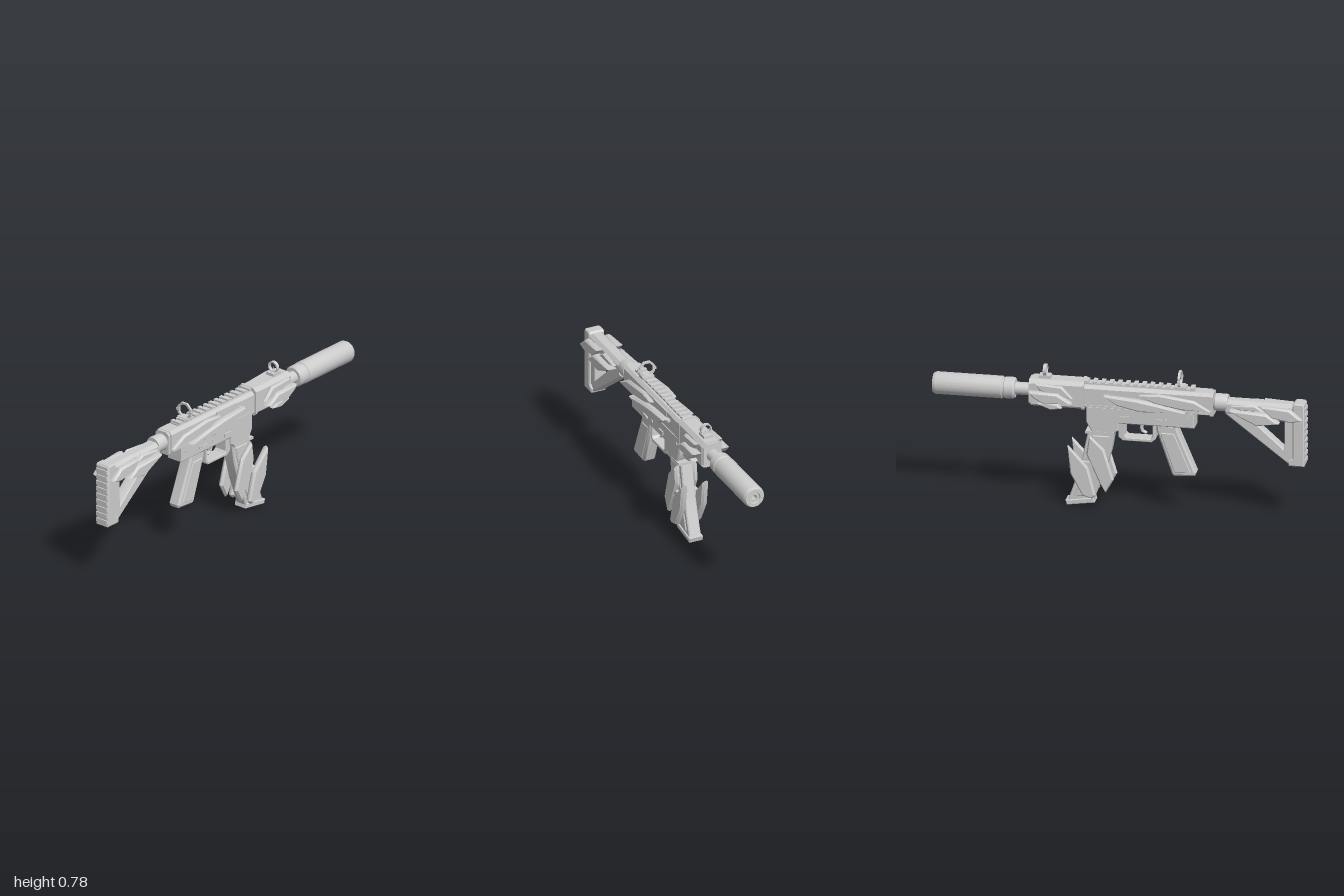
import * as THREE from 'three';
import { toCreasedNormals } from 'three/addons/utils/BufferGeometryUtils.js';

const grey = new THREE.MeshStandardMaterial({ color: 0xcccccc });
grey.name = 'plain grey';

export function createModel() {
  const root = new THREE.Group();
  root.name = 'carbine';

  const add = (name, geo, x = 0, y = 0, z = 0) => {
    const m = new THREE.Mesh(toCreasedNormals(geo, 0.5), grey);
    m.name = name;
    m.position.set(x, y, z);
    root.add(m);
  };
  const box = (name, x0, x1, y0, y1, z0, z1) =>
    add(name, new THREE.BoxGeometry(x1 - x0, y1 - y0, z1 - z0), (x0 + x1) / 2, (y0 + y1) / 2, (z0 + z1) / 2);
  const toShape = (pts) => new THREE.Shape(pts.map(([x, y]) => new THREE.Vector2(x, y)));

  // Side profile extruded symmetrically in z, with a small chamfer inside the outline
  const slab = (name, pts, half, bevel = 0.006, hole = null) => {
    const shape = toShape(pts);
    if (hole) shape.holes.push(toShape(hole));
    const geo = new THREE.ExtrudeGeometry(shape, {
      depth: 2 * (half - bevel), bevelThickness: bevel,
      bevelSize: bevel, bevelOffset: -bevel, bevelSegments: 1,
    });
    add(name, geo.translate(0, 0, bevel - half));
  };
  // Cross-section in (z, y) extruded along x
  const along = (name, pts, x0, x1, hole = null) => {
    const shape = toShape(pts);
    if (hole) shape.holes.push(toShape(hole));
    const geo = new THREE.ExtrudeGeometry(shape, { depth: x1 - x0, bevelEnabled: false });
    add(name, geo.rotateY(Math.PI / 2), x0);
  };
  // Profile of [x, radius] turned around the barrel axis
  const turned = (name, pts, sides = 28) => {
    const geo = new THREE.LatheGeometry(pts.map(([x, r]) => new THREE.Vector2(r, x)), sides);
    add(name, geo.rotateZ(-Math.PI / 2), 0, 0.623, 0);
  };
  // Rectangle with cut corners, as (z, y) points
  const cutRect = (w, y0, y1, top, bottom) => [
    [-w, y0 + bottom], [-w + bottom, y0], [w - bottom, y0], [w, y0 + bottom],
    [w, y1 - top], [w - top, y1], [-w + top, y1], [-w, y1 - top],
  ];
  const ring = (r, y, n) => Array.from({ length: n }, (_, i) => {
    const a = ((i + 0.5) / n) * Math.PI * 2;
    return [Math.cos(a) * r, y + Math.sin(a) * r];
  });
  // Faceted plate between |z| = z0 and z1, on both sides
  const shard = (name, pts, z0, z1) => {
    const d = z1 - z0, b = 0.012;
    for (const s of [1, -1]) {
      const geo = new THREE.ExtrudeGeometry(toShape(pts), {
        depth: d - 2 * b, bevelThickness: b, bevelSize: 0.009, bevelOffset: -0.009, bevelSegments: 1,
      });
      add(name, geo.translate(0, 0, s > 0 ? z0 + b : -z1 + b));
    }
  };
  const pin = (name, x, y, r, half) =>
    add(name, new THREE.CylinderGeometry(r, r, half * 2, 12).rotateX(Math.PI / 2), x, y, 0);

  // Barrel and suppressor
  turned('barrel', [[0.46, 0], [0.46, 0.034], [0.58, 0.034], [0.58, 0]], 20);
  turned('suppressor', [
    [0.56, 0.02], [0.56, 0.05], [0.57, 0.058], [0.615, 0.058], [0.618, 0.054], [0.626, 0.054], [0.63, 0.06],
    [0.985, 0.06], [1, 0.052], [1, 0.032], [0.992, 0.029], [0.992, 0.015], [0.93, 0.015], [0.93, 0],
  ]);

  // Handguard
  along('handguard', cutRect(0.058, 0.55, 0.697, 0.02, 0.012), 0.19, 0.47);
  along('handguardRearCollar', cutRect(0.061, 0.544, 0.702, 0.02, 0.012), 0.185, 0.2);
  along('handguardFrontCollar', cutRect(0.052, 0.556, 0.692, 0.02, 0.012), 0.47, 0.482);

  // Upper receiver with rail
  along('upperReceiver', cutRect(0.052, 0.562, 0.682, 0.016, 0.004), -0.49, 0.19);
  along('receiverEndPlate', cutRect(0.046, 0.552, 0.68, 0.016, 0.006), -0.505, -0.488);
  box('railBase', -0.405, 0.185, 0.678, 0.69, -0.025, 0.025);
  for (let i = 0; i < 14; i++) {
    const x = -0.4 + i * 0.0435;
    box('railTooth', x, x + 0.022, 0.688, 0.7, -0.03, 0.03);
  }
  box('ejectionPort', -0.125, 0.035, 0.615, 0.672, 0.05, 0.056);
  box('boltHandle', 0.05, 0.075, 0.628, 0.642, -0.068, 0.068);
  box('receiverRib', -0.48, 0.18, 0.566, 0.576, -0.056, 0.056);

  // Lower receiver, magazine well and trigger guard
  slab('lowerReceiver', [
    [-0.405, 0.48], [0.0, 0.48], [0.0, 0.44], [0.03, 0.418], [0.142, 0.418], [0.175, 0.48], [0.175, 0.568], [-0.405, 0.568],
  ], 0.05);
  box('magazineWellLip', 0.025, 0.178, 0.414, 0.428, -0.052, 0.052);
  slab('triggerGuard', [
    [-0.195, 0.485], [-0.195, 0.4], [-0.175, 0.383], [-0.02, 0.383], [0.004, 0.403], [0.004, 0.485],
  ], 0.038, 0.003, [[-0.18, 0.478], [-0.03, 0.478], [-0.03, 0.412], [-0.042, 0.4], [-0.168, 0.4], [-0.18, 0.412]]);
  slab('trigger', [
    [-0.135, 0.49], [-0.122, 0.45], [-0.125, 0.435], [-0.145, 0.425], [-0.138, 0.418], [-0.115, 0.43], [-0.108, 0.45], [-0.112, 0.49],
  ], 0.012, 0.002);
  for (const [x, y] of [[-0.37, 0.535], [-0.15, 0.52], [0.15, 0.535]]) pin('receiverPin', x, y, 0.008, 0.054);
  pin('selectorPivot', -0.25, 0.515, 0.012, 0.056);
  box('selectorLever', -0.25, -0.2, 0.51, 0.52, -0.058, 0.058);
  box('magazineRelease', -0.06, -0.01, 0.505, 0.525, -0.057, 0.057);

  // Grip
  slab('grip', [
    [-0.31, 0.485], [-0.315, 0.455], [-0.412, 0.225], [-0.405, 0.207], [-0.295, 0.2], [-0.283, 0.21], [-0.2, 0.45], [-0.2, 0.485],
  ], 0.036, 0.01);
  slab('gripPanel', [[-0.295, 0.44], [-0.385, 0.228], [-0.298, 0.22], [-0.222, 0.44]], 0.04, 0.004);

  // Curved magazine
  slab('magazine', [
    [0.024, 0.43], [0.042, 0.32], [0.075, 0.2], [0.137, 0.035], [0.278, 0.015], [0.232, 0.15], [0.198, 0.27], [0.165, 0.43],
  ], 0.034);
  slab('magazineRidge', [
    [0.05, 0.4], [0.066, 0.32], [0.1, 0.2], [0.155, 0.06], [0.24, 0.05], [0.205, 0.15], [0.172, 0.27], [0.142, 0.4],
  ], 0.04, 0.004);
  slab('magazineBase', [[0.13, 0.022], [0.28, 0.0], [0.287, 0.026], [0.137, 0.05]], 0.041, 0.004);
  shard('magazineShard', [
    [0.068, 0.088], [0.1, 0.14], [0.172, 0.3], [0.155, 0.405], [0.075, 0.33], [0.025, 0.165],
  ], 0.036, 0.066);
  shard('magazineShard', [
    [0.138, 0.055], [0.19, 0.07], [0.255, 0.19], [0.27, 0.345], [0.16, 0.23], [0.12, 0.075],
  ], 0.044, 0.079);
  box('magazineClasp', 0.13, 0.19, 0.23, 0.255, -0.06, 0.06);

  // Stock post and skeleton stock
  turned('stockPost', [[-0.58, 0], [-0.58, 0.044], [-0.57, 0.047], [-0.515, 0.047], [-0.505, 0.041], [-0.48, 0.041], [-0.48, 0]], 20);
  slab('stockFrame', [
    [-0.97, 0.31], [-0.91, 0.31], [-0.57, 0.57], [-0.57, 0.64], [-0.97, 0.642],
  ], 0.034, 0.006, [[-0.885, 0.39], [-0.885, 0.55], [-0.71, 0.545]]);
  along('stockTube', cutRect(0.041, 0.565, 0.647, 0.018, 0.018), -0.95, -0.572);
  slab('buttPlate', [
    [-0.993, 0.305], [-0.91, 0.305], [-0.905, 0.33], [-0.93, 0.35], [-0.93, 0.645], [-0.94, 0.656], [-0.985, 0.656], [-0.993, 0.645],
  ], 0.045);
  for (let i = 0; i < 9; i++) box('buttPadRidge', -1, -0.985, 0.322 + i * 0.036, 0.342 + i * 0.036, -0.037, 0.037);

  // Crystal plates on the stock
  shard('stockShard', [[-0.985, 0.575], [-0.93, 0.557], [-0.82, 0.578], [-0.765, 0.638], [-0.92, 0.63]], 0.036, 0.078);
  shard('stockShard', [[-0.865, 0.55], [-0.745, 0.532], [-0.66, 0.572], [-0.6, 0.608], [-0.8, 0.6]], 0.032, 0.09);
  shard('stockShard', [[-0.78, 0.605], [-0.66, 0.6], [-0.6, 0.625], [-0.73, 0.64]], 0.036, 0.062);

  // Crystal plates on the receiver
  shard('receiverShard', [
    [-0.5, 0.588], [-0.34, 0.588], [-0.2, 0.612], [-0.11, 0.655], [-0.22, 0.667], [-0.41, 0.642],
  ], 0.048, 0.078);
  shard('receiverShard', [
    [-0.36, 0.576], [-0.12, 0.566], [0.0, 0.592], [0.075, 0.643], [-0.1, 0.632], [-0.22, 0.612],
  ], 0.048, 0.092);

  // Crystal plates on the handguard
  shard('handguardShard', [[0.24, 0.61], [0.33, 0.615], [0.42, 0.645], [0.445, 0.683], [0.3, 0.676]], 0.054, 0.082);
  shard('handguardShard', [[0.245, 0.588], [0.4, 0.582], [0.45, 0.61], [0.475, 0.642], [0.32, 0.64]], 0.054, 0.106);
  shard('handguardShard', [[0.3, 0.555], [0.36, 0.545], [0.43, 0.575], [0.38, 0.59], [0.32, 0.582]], 0.05, 0.094);

  // Rear sight: tall octagonal ring
  along('rearSightRing', ring(0.049, 0.736, 8), -0.327, -0.315, ring(0.037, 0.736, 8));
  box('rearSightBase', -0.345, -0.3, 0.685, 0.703, -0.034, 0.034);
  for (const s of [-1, 1]) box('rearSightKnob', -0.328, -0.314, 0.728, 0.742, s * 0.049 - 0.004, s * 0.049 + 0.004);

  // Front sight: round ring with a post
  along('frontSightRing', ring(0.032, 0.738, 20), 0.392, 0.41, ring(0.025, 0.738, 20));
  box('frontSightBase', 0.37, 0.432, 0.692, 0.712, -0.026, 0.026);
  add('frontSightPost', new THREE.CylinderGeometry(0.0015, 0.004, 0.03, 8), 0.4, 0.724, 0);

  return root;
}
